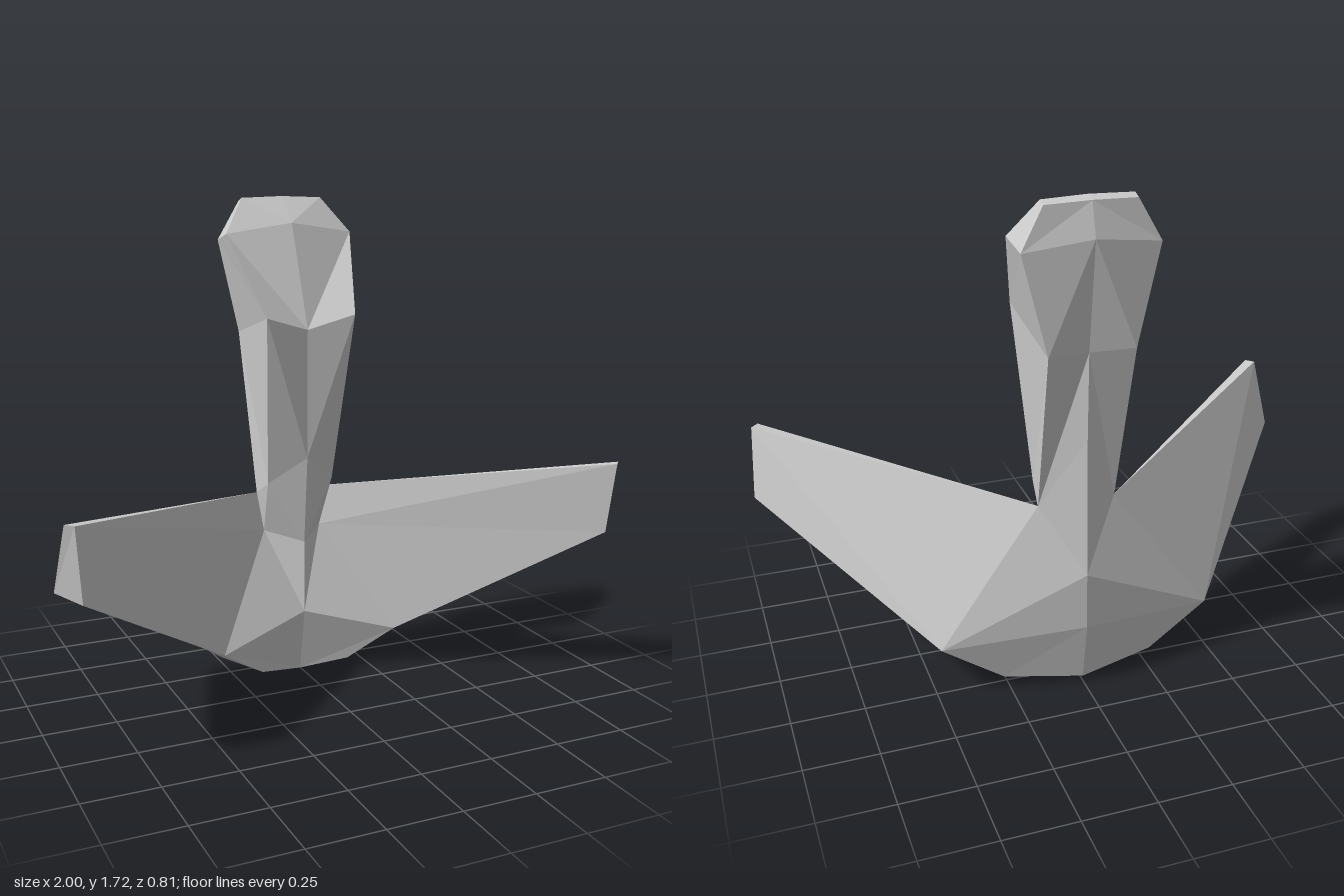
import * as THREE from 'three';

// Half cross-sections of the trunk, bottom to top:
// front centre, front side, back side, back centre
const RINGS = {
  keel:   [[0, 0, -0.18], [0.17, 0.03, -0.13], [0.27, 0.045, -0.29], [0, 0.02, -0.34]],
  hips:   [[0, 0.235, -0.14], [0.335, 0.14, -0.075], [0.485, 0.19, -0.28], [0, 0.24, -0.375]],
  collar: [[0, 0.5, -0.14], [0.11, 0.525, -0.255], [0.135, 0.67, -0.26], [0, 0.44, -0.37]],
  neck:   [[0, 0.815, -0.11], [0.125, 0.72, -0.175], [0.135, 0.67, -0.26], [0, 0.93, -0.358]],
  brow:   [[0, 1.27, -0.105], [0.165, 1.32, -0.07], [0.145, 1.24, -0.395], [0, 1.23, -0.362]],
  crown:  [[0, 1.63, -0.24], [0.235, 1.595, -0.265], [0.225, 1.57, -0.38], [0, 1.6, -0.405]],
  top:    [[0, 1.72, -0.335], [0.15, 1.715, -0.335], [0.15, 1.705, -0.365], [0, 1.71, -0.372]],
};

// Arm tip: front top, front bottom, back bottom, back top
const TIP = [[0.955, 0.81, 0.4], [0.935, 0.56, 0.378], [1, 0.58, 0.287], [0.98, 0.81, 0.372]];

const material = new THREE.MeshStandardMaterial({ color: 0xcccccc, flatShading: true });

// Quads joining two sections, leaving out any skipped segment
function bridge(low, high, { closed = false, skip = -1 } = {}) {
  const quads = [];
  const count = closed ? low.length : low.length - 1;
  for (let i = 0; i < count; i++) {
    if (i === skip) continue;
    const j = (i + 1) % low.length;
    quads.push([low[i], low[j], high[j], high[i]]);
  }
  return quads;
}

// Mirror quads across x = 0 while keeping the same diagonal
function mirror(quads) {
  return quads.map(([a, b, c, d]) => [a, d, c, b].map(([x, y, z]) => [-x, y, z]));
}

function makeMesh(name, quads) {
  const positions = quads.flatMap(([a, b, c, d]) => [a, b, c, a, c, d]).flat();
  const geometry = new THREE.BufferGeometry();
  geometry.setAttribute('position', new THREE.Float32BufferAttribute(positions, 3));
  geometry.computeVertexNormals();
  const mesh = new THREE.Mesh(geometry, material);
  mesh.name = name;
  return mesh;
}

export function createModel() {
  const group = new THREE.Group();
  group.name = 'model';
  const { keel, hips, collar, neck, brow, crown, top } = RINGS;

  // Base: closed underneath, with side openings where the arms join
  const base = [
    [...keel].reverse(),
    ...bridge(keel, hips),
    ...bridge(hips, collar, { skip: 1 }),
  ];
  group.add(makeMesh('base', [...base, ...mirror(base)]));

  // Shaft
  const shaft = [...bridge(collar, neck), ...bridge(neck, brow)];
  group.add(makeMesh('shaft', [...shaft, ...mirror(shaft)]));

  // Head, capped on top
  const head = [...bridge(brow, crown), ...bridge(crown, top), top];
  group.add(makeMesh('head', [...head, ...mirror(head)]));

  // Arms sweeping forward from the openings in the base
  const root = [collar[1], hips[1], hips[2], collar[2]];
  const arm = [...bridge(root, TIP, { closed: true }), TIP];
  group.add(makeMesh('leftArm', arm));
  group.add(makeMesh('rightArm', mirror(arm)));

  return group;
}
